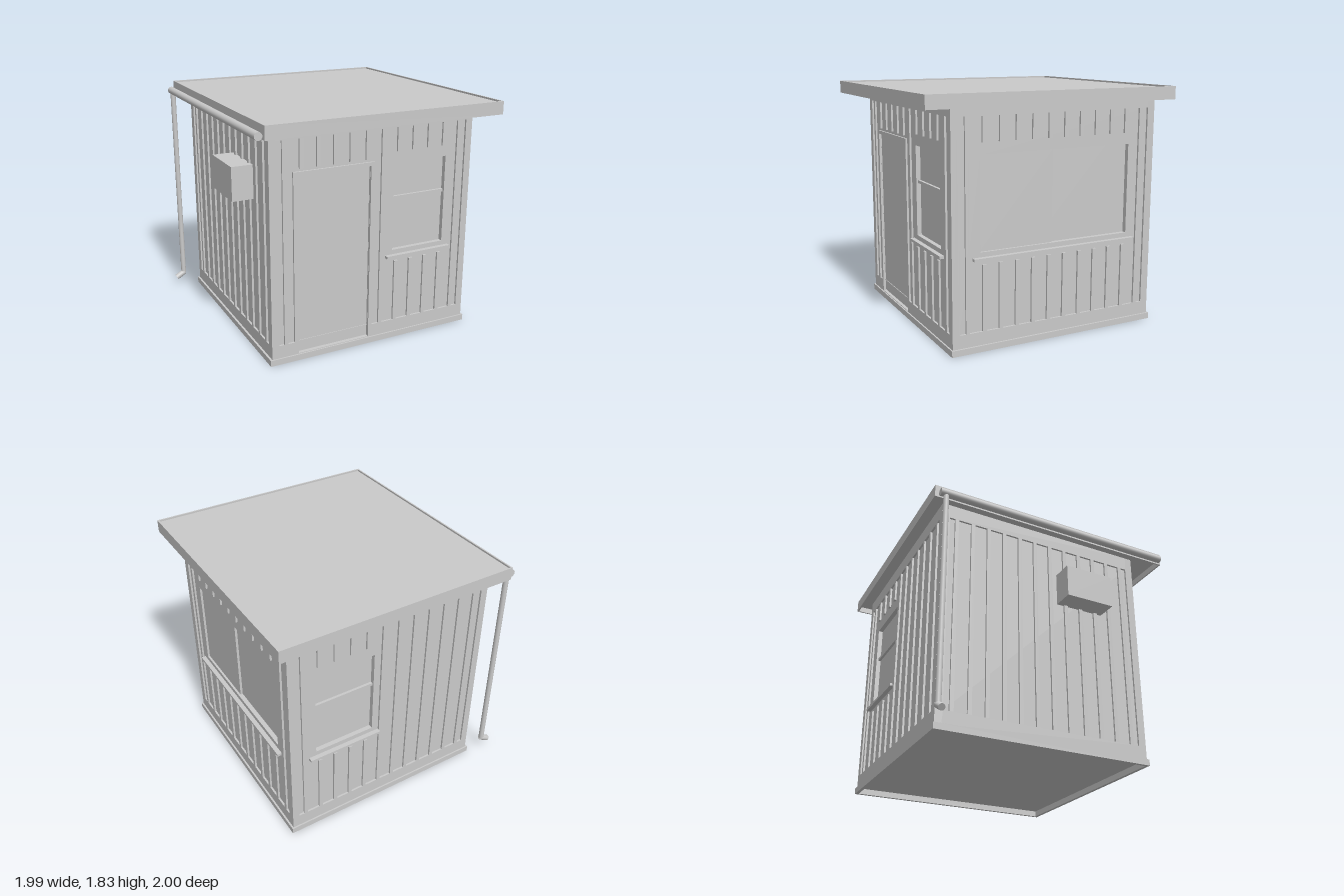
import * as THREE from 'three';

const W = 1.665, D = 1.675, CX = 0.0555, CZ = -0.0555; // body size and centre
const Y0 = 0.045, EAVE = 1.73, CEILING = 1.78, RECESS = 0.015, CORE = 0.05;

export function createModel() {
  const root = new THREE.Group();
  const grey = new THREE.MeshStandardMaterial({ color: 0xcacaca });
  grey.name = 'grey';

  const add = (parent, name, geo) => {
    const m = new THREE.Mesh(geo, grey);
    m.name = name;
    parent.add(m);
    return m;
  };
  // box from its minimum and maximum corners
  const box = (parent, name, x0, x1, y0, y1, z0, z1) => {
    const m = add(parent, name, new THREE.BoxGeometry(x1 - x0, y1 - y0, z1 - z0));
    m.position.set((x0 + x1) / 2, (y0 + y1) / 2, (z0 + z1) / 2);
    return m;
  };
  const points = list => list.map(([x, y]) => new THREE.Vector2(x, y));
  const rect = (x0, x1, y0, y1) => points([[x0, y0], [x1, y0], [x1, y1], [x0, y1]]);
  // flat plate with holes, extruded between two depths
  const plate = (parent, name, outer, holes, z0, z1) => {
    const shape = new THREE.Shape(outer);
    holes.forEach(h => shape.holes.push(new THREE.Path(h)));
    const m = add(parent, name, new THREE.ExtrudeGeometry(shape, { depth: z1 - z0, bevelEnabled: false }));
    m.position.z = z0;
    return m;
  };
  // horizontal rectangular ring with thin sides
  const ring = (name, x0, x1, z0, z1, y, height, t) => {
    const m = plate(root, name, rect(x0, x1, -z1, -z0), [rect(x0 + t, x1 - t, t - z1, -z0 - t)], 0, height);
    m.rotation.x = -Math.PI / 2;
    m.position.y = y;
  };

  // one clad wall: border frame, recessed panel, raised ribs, optional window and door
  function wall(name, halfWidth, angle, dist, { win, door }) {
    const g = new THREE.Group();
    g.name = name;
    g.rotation.y = angle;
    g.position.set(CX + Math.sin(angle) * dist, 0, CZ + Math.cos(angle) * dist);
    root.add(g);

    const e = 0.7775, lo = 0.146, hi = 1.667, sillY = Y0 + 0.007;
    // the recess drops to the threshold where there is a door
    const recess = door
      ? points([[-e, lo], [door.x0 + 0.033, lo], [door.x0 + 0.033, sillY], [door.x1 - 0.03, sillY],
        [door.x1 - 0.03, lo], [e, lo], [e, hi], [-e, hi]])
      : rect(-e, e, lo, hi);
    const openings = win ? [rect(win.x0, win.x1, win.y0, win.y1)] : [];
    if (door) openings.push(rect(door.x0 + 0.034, door.x1 - 0.031, lo + 0.001, 1.402));
    plate(g, 'wallFrame', rect(-halfWidth, halfWidth, Y0, CEILING), [recess], -CORE, 0);
    plate(g, 'wallPanel', rect(-e, e, lo, hi), openings, -CORE, -RECESS);

    // ribs stop short around the openings
    for (let i = 0; i < 12; i++) {
      const x = -0.718 + i * 0.1305;
      const rib = (y0, y1) => box(g, 'rib', x - 0.015, x + 0.015, y0, y1, -0.03, 0);
      if (win && x > win.x0 - 0.05 && x < win.x1 + 0.05) {
        rib(lo, 0.635);
        rib(1.488, hi);
      } else if (door && x > door.x0 && x < door.x1) {
        rib(1.453, hi);
      } else rib(lo, hi);
    }

    if (win) {
      box(g, 'windowSill', win.x0 - 0.06, win.x1 + 0.055, 0.666, 0.686, -0.03, 0.02);
      if (win.rail) box(g, 'windowRail', win.x0, win.x1, 1.118, 1.14, -CORE - 0.01, -0.03);
      else box(g, 'slidingPane', win.x0, win.split, win.y0, win.y1, -CORE - 0.01, -0.032);
    }
    if (door) {
      const a = door.x0, b = door.x1;
      plate(g, 'doorFrame', points([[a, lo], [a + 0.033, lo], [a + 0.033, 1.405], [b - 0.03, 1.405],
        [b - 0.03, lo], [b, lo], [b, 1.433], [a, 1.433]]), [], -CORE, 0);
      box(g, 'doorLeaf', a + 0.038, b - 0.035, 0.058, 1.4, -CORE - 0.01, -0.02);
    }
  }

  const y0 = 0.721, y1 = 1.402;
  wall('frontWall', W / 2, 0, D / 2, {
    win: { x0: 0.165, x1: 0.615, y0, y1, rail: true }, door: { x0: -0.652, x1: -0.007 },
  });
  wall('leftWall', D / 2 - CORE, Math.PI / 2, W / 2, { win: { x0: -0.615, x1: 0.619, y0, y1, split: -0.03 } });
  wall('backWall', W / 2, Math.PI, D / 2, { win: { x0: -0.615, x1: -0.135, y0, y1, rail: true } });
  wall('rightWall', D / 2 - CORE, -Math.PI / 2, W / 2, {});

  // inner block, also the glass plane behind the window openings
  box(root, 'innerCore', CX - W / 2 + CORE, CX + W / 2 - CORE, Y0, CEILING,
    CZ - D / 2 + CORE, CZ + D / 2 - CORE);
  // hollow skirt under the floor
  ring('baseSkirt', -0.793, 0.902, -0.905, 0.793, 0, Y0 + 0.002, 0.025);

  // roof slab set inside a fascia that stands above and below it
  ring('roofFascia', -0.888, 0.993, -1, 1, EAVE, 0.098, 0.012);
  box(root, 'roofSlab', -0.876, 0.981, CEILING - 0.002, 1.815, -0.988, 0.988);

  // wall unit on the right side
  box(root, 'wallUnit', -0.925, -0.76, 1.178, 1.433, 0.07, 0.46);

  // gutter, downpipe and spout
  const pipe = (name, a, b, r) => {
    const from = new THREE.Vector3(...a), to = new THREE.Vector3(...b);
    const m = add(root, name, new THREE.CylinderGeometry(r, r, from.distanceTo(to), 20));
    m.position.copy(from).lerp(to, 0.5);
    m.quaternion.setFromUnitVectors(new THREE.Vector3(0, 1, 0), to.sub(from).normalize());
  };
  pipe('gutter', [-0.918, 1.755, -0.97], [-0.918, 1.755, 0.967], 0.029);
  pipe('downpipe', [-0.918, 1.755, -0.925], [-0.918, 0.113, -0.925], 0.021);
  pipe('spout', [-0.91, 0.116, -0.925], [-0.983, 0.073, -0.925], 0.024);

  return root;
}
